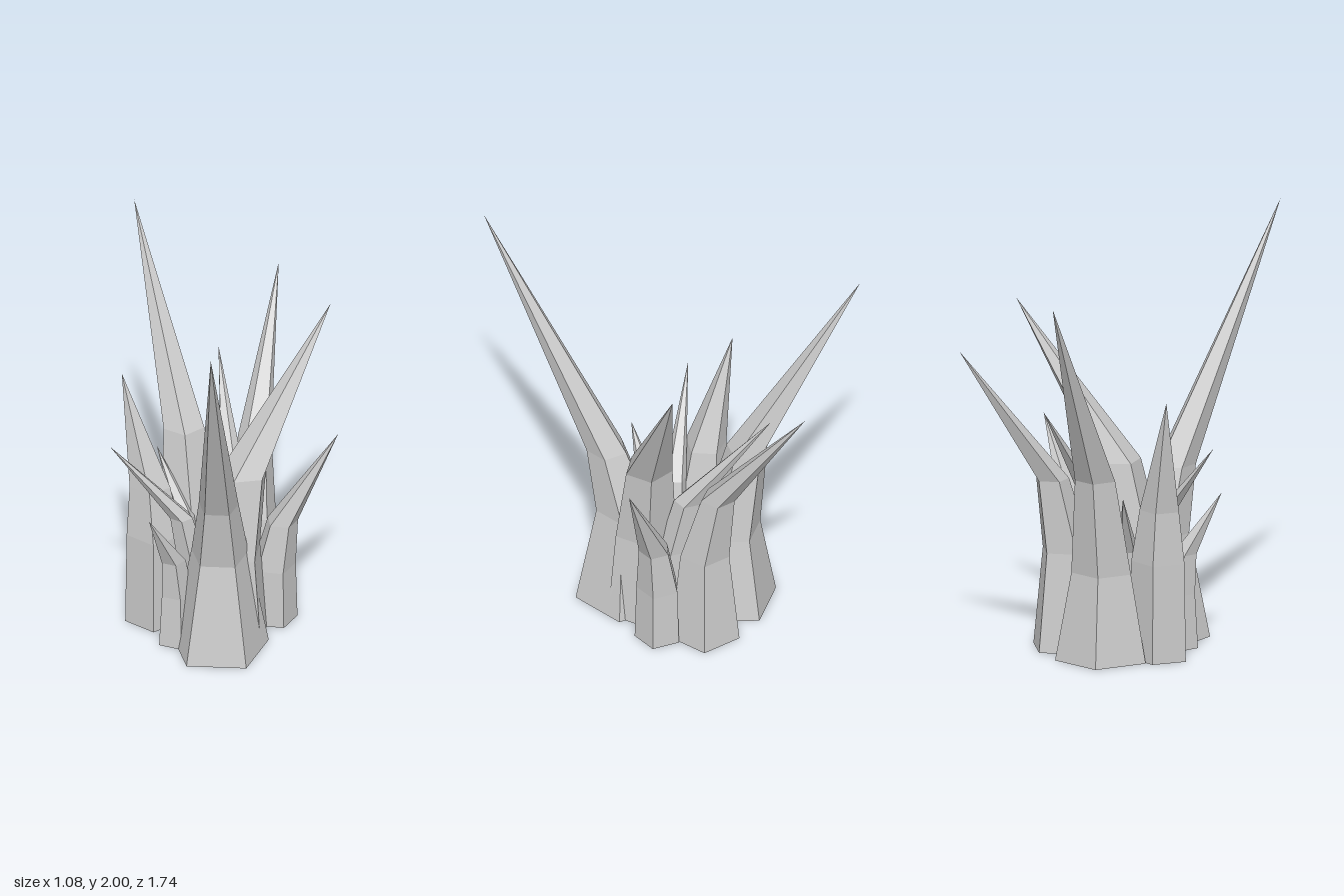
import * as THREE from 'three';

const SIDES = 5;
// share of the way towards the tip by which the shoulder ring leans out
const LEAN = 0.13;

// One spike: three stacked pentagon rings, a pointed tip and a closed base.
function spikeGeometry({ base, tip, r, y, turn }) {
  const shoulder = base.map((c, i) => c + LEAN * (tip[i * 2] - c));
  const centers = [base, base, shoulder];
  const heights = [0, ...y];
  const positions = [];
  const index = [];
  centers.forEach(([cx, cz], k) => {
    for (let i = 0; i < SIDES; i++) {
      const a = THREE.MathUtils.degToRad(turn) + (i / SIDES) * Math.PI * 2;
      positions.push(cx + r[k] * Math.cos(a), heights[k], cz + r[k] * Math.sin(a));
    }
  });
  const tipIndex = centers.length * SIDES;
  const baseIndex = tipIndex + 1;
  positions.push(...tip, base[0], 0, base[1]);

  for (let i = 0; i < SIDES; i++) {
    const j = (i + 1) % SIDES;
    for (let k = 0; k < centers.length - 1; k++) {
      const lo = k * SIDES, hi = lo + SIDES;
      index.push(lo + i, hi + i, hi + j, lo + i, hi + j, lo + j);
    }
    const top = (centers.length - 1) * SIDES;
    index.push(top + i, tipIndex, top + j);
    index.push(baseIndex, i, j);
  }
  const indexed = new THREE.BufferGeometry();
  indexed.setAttribute('position', new THREE.Float32BufferAttribute(positions, 3));
  indexed.setIndex(index);
  const geometry = indexed.toNonIndexed();
  geometry.computeVertexNormals();
  return geometry;
}

// base: [x, z], tip: [x, y, z], r: ring radii, y: waist and shoulder heights,
// turn: rotation of the pentagon in degrees
const SPIKES = {
  frontSpike: { base: [-0.12, 0.224], tip: [-0.45, 2.0, 0.87], r: [0.238, 0.14, 0.098], y: [0.5, 0.82], turn: 82 },
  backSpike: { base: [-0.05, -0.262], tip: [-0.07, 1.82, -0.87], r: [0.225, 0.148, 0.1], y: [0.42, 0.88], turn: 254 },
  centreSpike: { base: [-0.02, 0.14], tip: [0.53, 1.61, 0.04], r: [0.19, 0.15, 0.115], y: [0.45, 0.86], turn: -4 },
  backLeftSpike: { base: [0.2, -0.13], tip: [0.54, 1.49, -0.58], r: [0.17, 0.12, 0.082], y: [0.47, 0.82], turn: 4 },
  backRightSpike: { base: [-0.29, -0.14], tip: [-0.39, 1.27, -0.29], r: [0.142, 0.135, 0.1], y: [0.47, 0.72], turn: 188 },
  leftSpike: { base: [0.218, 0.088], tip: [0.48, 1.02, 0.24], r: [0.112, 0.104, 0.075], y: [0.29, 0.53], turn: 17 },
  rightSpike: { base: [-0.16, 0], tip: [-0.54, 1.02, -0.09], r: [0.08, 0.07, 0.055], y: [0.35, 0.6], turn: 40 },
  shortRightSpike: { base: [-0.28, 0.09], tip: [-0.46, 0.74, 0.18], r: [0.095, 0.08, 0.06], y: [0.26, 0.45], turn: 100 },
  innerLeftSpike: { base: [0.06, 0], tip: [0.17, 1.2, -0.44], r: [0.095, 0.08, 0.065], y: [0.4, 0.68], turn: 20 },
  innerBackSpike: { base: [-0.12, -0.12], tip: [-0.19, 0.8, -0.34], r: [0.08, 0.07, 0.05], y: [0.3, 0.5], turn: 65 },
};

export function createModel() {
  const group = new THREE.Group();
  group.name = 'spikeCluster';
  const material = new THREE.MeshStandardMaterial({ color: 0xcccccc, flatShading: true });
  for (const [name, spec] of Object.entries(SPIKES)) {
    const mesh = new THREE.Mesh(spikeGeometry(spec), material);
    mesh.name = name;
    group.add(mesh);
  }
  return group;
}
